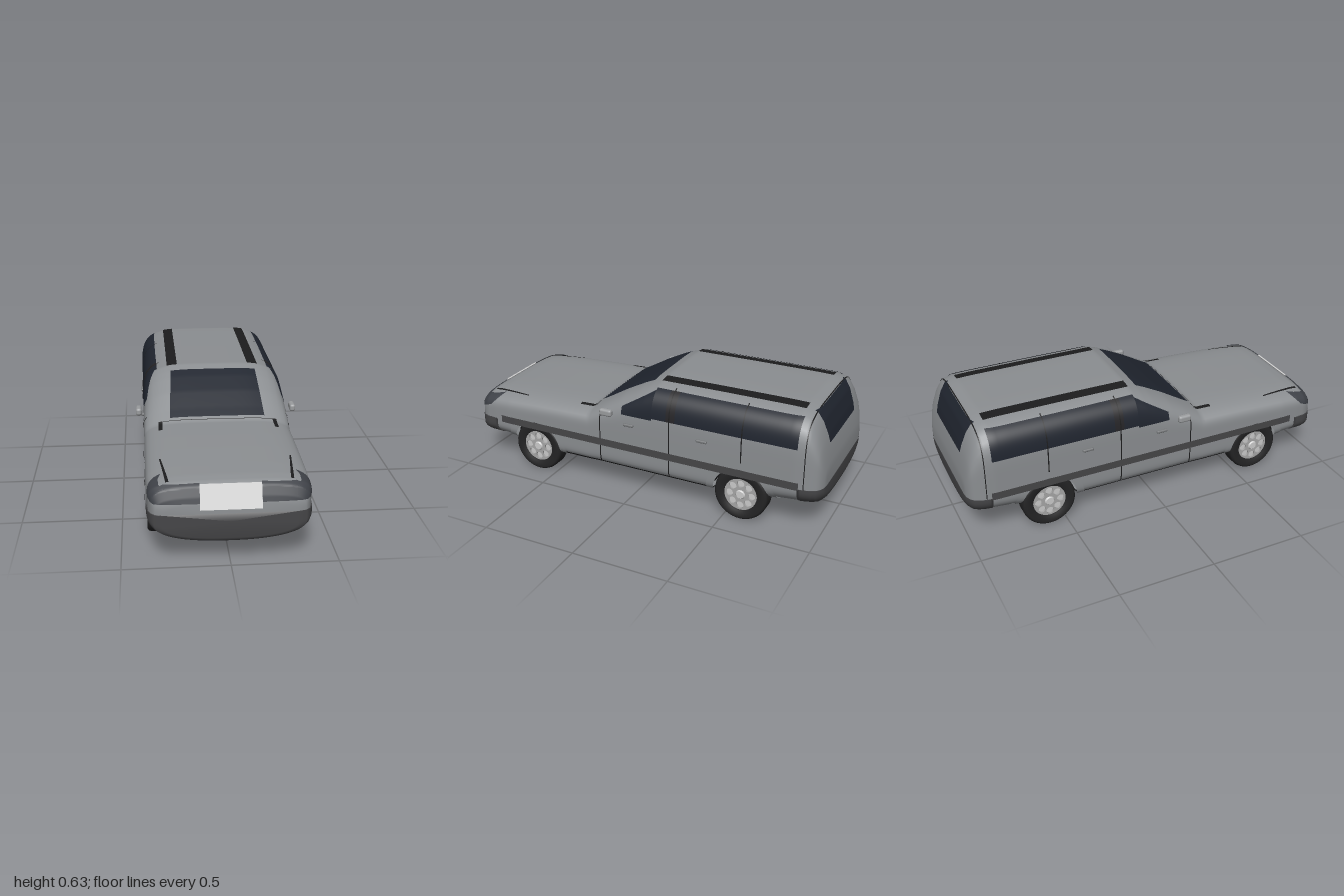
import * as THREE from 'three';
import { RoundedBoxGeometry } from 'three/addons/geometries/RoundedBoxGeometry.js';

const paint = (color, side = THREE.FrontSide) => new THREE.MeshStandardMaterial({ color, side });
const GREY = 0x8b8e91, GLASS = 0x20252f, BLACK = 0x1c1c1d, DARK = 0x464648, LIGHT = 0xcccccc;
const WHEELS = [0.605, -0.59], AXLE = 0.14, ROUND = 4.5;

// Body sections, front to back: z, half width, top, bottom, roundness of the lower corners
const KEYS = [
  [0.988, 0.3, 0.3, 0.14, 2.4], [0.978, 0.34, 0.335, 0.122, 2.3], [0.96, 0.358, 0.378, 0.113, 2.3],
  [0.93, 0.37, 0.394, 0.11, 2.3], [0.88, 0.375, 0.402, 0.11, 2.3], [0.78, 0.38, 0.409, 0.11, 2.5],
  [0.6, 0.38, 0.418, 0.11, 3.5], [0.45, 0.38, 0.424, 0.11, 5.5], [0.28, 0.38, 0.429, 0.11, 5.5],
  [0.2, 0.38, 0.474, 0.11, 5.5], [0.1, 0.38, 0.534, 0.11, 5.5], [0, 0.38, 0.586, 0.11, 5.5],
  [-0.05, 0.38, 0.608, 0.11, 5.5], [-0.1, 0.38, 0.625, 0.11, 5.5], [-0.44, 0.38, 0.627, 0.11, 5.5],
  [-0.6, 0.38, 0.627, 0.11, 3.5], [-0.78, 0.38, 0.627, 0.11, 2.8], [-0.86, 0.38, 0.625, 0.11, 2.5],
  [-0.91, 0.375, 0.608, 0.11, 2.4], [-0.94, 0.366, 0.56, 0.112, 2.4], [-0.965, 0.354, 0.49, 0.12, 2.4],
  [-0.982, 0.335, 0.42, 0.137, 2.4], [-0.993, 0.31, 0.36, 0.16, 2.4], [-0.997, 0.28, 0.32, 0.18, 2.4],
];

function section(z) {
  let i = 0;
  while (i < KEYS.length - 2 && KEYS[i + 1][0] > z) i++;
  const a = KEYS[i], b = KEYS[i + 1], t = (a[0] - z) / (a[0] - b[0]);
  const [w, top, bottom, low] = [1, 2, 3, 4].map(k => a[k] + (b[k] - a[k]) * t);
  const h = top - bottom;
  return { w, top, bottom, low, yu: Math.min(0.33, bottom + 0.6 * h), yl: Math.min(0.25, bottom + 0.4 * h) };
}

// Below 1 inside the body, above 1 outside
function hull([x, y, z]) {
  if (z > KEYS[0][0] || z < KEYS[KEYS.length - 1][0]) return 9;
  const s = section(z), n = y < s.yl ? s.low : ROUND;
  const v = y > s.yu ? (y - s.yu) / (s.top - s.yu) : y < s.yl ? (s.yl - y) / (s.yl - s.bottom) : 0;
  return Math.pow(Math.abs(x) / s.w, n) + Math.pow(v, n);
}

// One section as a ring of points, counter-clockwise from the front
function ring(z, grow) {
  const s = section(z), pts = [], N = 36, M = 8;
  const arc = (a0, n, ry, yc) => {
    for (let k = 0; k <= N; k++) {
      const a = a0 + Math.PI * k / N, c = Math.cos(a), d = Math.sin(a);
      const r = Math.pow(Math.pow(Math.abs(c), n) + Math.pow(Math.abs(d), n), -1 / n);
      pts.push([c * r * (s.w + grow), yc + d * r * (ry + grow), z]);
    }
  };
  const side = (x, y0, y1) => {
    for (let k = 1; k < M; k++) pts.push([x * (s.w + grow), y0 + (y1 - y0) * k / M, z]);
  };
  arc(0, ROUND, s.top - s.yu, s.yu);
  side(-1, s.yu, s.yl);
  arc(Math.PI, s.low, s.yl - s.bottom, s.yl);
  side(1, s.yl, s.yu);
  return pts;
}

// Loft of the sections between z0 and z1, cut off at yMax and open at the wheel arches
function loft(z0, z1, grow = 0, yMax = 9) {
  const stops = [z0, ...KEYS.map(k => k[0]).filter(z => z < z0 && z > z1), z1], zs = [z0];
  for (let i = 1; i < stops.length; i++) {
    const d = stops[i] - stops[i - 1], n = Math.ceil(Math.abs(d) / 0.016);
    for (let k = 1; k <= n; k++) zs.push(stops[i - 1] + d * k / n);
  }
  const pos = [], idx = [], rings = zs.map(z => ring(z, grow)), n = rings[0].length;
  rings.forEach(r => {
    // The cut is closed by a lid no wider than the section just below it
    const xMax = Math.max(...r.map(p => (p[1] <= yMax ? Math.abs(p[0]) : 0)));
    r.forEach(p => pos.push(Math.max(-xMax, Math.min(xMax, p[0])), Math.min(p[1], yMax), p[2]));
  });
  const inArch = (p, q) => Math.abs(p[0]) > 0.25 && WHEELS.some(w =>
    Math.hypot((p[2] + q[2]) / 2 - w, (p[1] + q[1]) / 2 - AXLE) < 0.162);
  for (let i = 0; i < rings.length - 1; i++) for (let j = 0; j < n; j++) {
    const k = (j + 1) % n, a = i * n + j, b = i * n + k, c = a + n, d = b + n;
    if (!inArch(rings[i][j], rings[i + 1][k])) idx.push(a, c, b, b, c, d);
  }
  // End caps
  [[0, z0 + (z0 > 0.9 ? grow : 0)], [rings.length - 1, z1 - (z1 < -0.9 ? grow : 0)]].forEach(([i, z]) => {
    const s = section(zs[i]), centre = pos.length / 3;
    pos.push(0, Math.min((s.top + s.bottom) / 2, yMax), z);
    for (let j = 0; j < n; j++) {
      const a = i * n + j, b = i * n + (j + 1) % n;
      idx.push(centre, ...(i ? [b, a] : [a, b]));
    }
  });
  return surface(pos, idx);
}

function surface(pos, idx) {
  const g = new THREE.BufferGeometry();
  g.setAttribute('position', new THREE.Float32BufferAttribute(pos, 3));
  g.setIndex(idx);
  g.computeVertexNormals();
  return g;
}

// Panel lying on the body: at(u, v) gives a point, pushed along one axis out to the surface
function panel(axis, sign, at, nu, nv, lift) {
  const pos = [], idx = [];
  for (let i = 0; i <= nu; i++) for (let j = 0; j <= nv; j++) {
    const p = at(i / nu, j / nv);
    let lo = p[axis], hi = sign * 1.1;
    for (let k = 0; k < 30; k++) {
      p[axis] = (lo + hi) / 2;
      if (hull(p) < 1) lo = p[axis]; else hi = p[axis];
    }
    p[axis] = lo;
    const grad = new THREE.Vector3(...[0, 1, 2].map(k => {
      const a = [...p], b = [...p];
      a[k] += 0.001; b[k] -= 0.001;
      return hull(a) - hull(b);
    })).normalize().multiplyScalar(lift);
    pos.push(p[0] + grad.x, p[1] + grad.y, p[2] + grad.z);
    if (i < nu && j < nv) {
      const a = i * (nv + 1) + j, c = a + nv + 1;
      idx.push(a, c, a + 1, a + 1, c, c + 1);
    }
  }
  return surface(pos, idx);
}

export function createModel() {
  const car = new THREE.Group();
  const add = (name, geometry, color, side, parent = car) => {
    const m = new THREE.Mesh(geometry, paint(color, side));
    m.name = name;
    parent.add(m);
    return m;
  };
  // Four-cornered panel; corners are [x or z, y] for the sides and ends, [x, z] on top
  const quad = (name, axis, sign, c, color, lift = 0.003, nu = 16, nv = 10) => {
    const at = (u, v) => {
      const [a, b] = [0, 1].map(k =>
        (c[0][k] * (1 - u) + c[1][k] * u) * (1 - v) + (c[3][k] * (1 - u) + c[2][k] * u) * v);
      return axis === 0 ? [0, b, a] : axis === 1 ? [a, 0.25, b] : [a, b, sign * 0.5];
    };
    return add(name, panel(axis, sign, at, nu, nv, lift), color, THREE.DoubleSide);
  };
  const box = (a0, a1, b0, b1) => [[a0, b0], [a1, b0], [a1, b1], [a0, b1]];

  // Shell and bumpers
  add('body', loft(0.988, -0.997), GREY, THREE.DoubleSide);
  add('frontBumper', loft(0.988, 0.865, 0.005, 0.257), DARK);
  add('rearBumper', loft(-0.88, -0.997, 0.003, 0.25), DARK);

  // Glass, bonnet and tailgate gaps
  quad('windscreen', 1, 1, [[-0.245, 0.25], [0.245, 0.25], [0.228, -0.05], [-0.228, -0.05]], GLASS, 0.003, 16, 24);
  quad('rearWindow', 2, -1, [[-0.21, 0.445], [0.21, 0.445], [0.23, 0.605], [-0.23, 0.605]], GLASS, 0.003, 16, 20);
  quad('bonnetGap', 1, 1, box(-0.3, 0.3, 0.264, 0.267), BLACK, 0.001, 16, 1);
  quad('tailgateGap', 1, 1, box(-0.3, 0.3, -0.911, -0.907), BLACK, 0.002, 24, 1);

  // Number plate panel
  const plate = add('plate', new THREE.BoxGeometry(0.28, 0.118, 0.008), LIGHT);
  plate.position.set(0, 0.335, 0.974);
  plate.rotation.x = -0.4;

  for (const s of [1, -1]) {
    // Side windows with a slanted leading edge
    quad('sideWindow', 0, s, box(-0.87, -0.23, 0.457, 0.598), GLASS, 0.002, 30, 20);
    quad('doorPillar', 0, s, box(-0.23, -0.18, 0.457, 0.598), 0x252427, 0.002, 4, 20);
    quad('sideWindow', 0, s, box(-0.18, -0.1, 0.457, 0.598), GLASS, 0.002, 6, 20);
    quad('quarterWindow', 0, s, [[-0.1, 0.447], [0.075, 0.445], [0.075, 0.485], [-0.1, 0.59]], GLASS, 0.002, 12, 16);
    // Door gaps, trim strip and sill
    for (const z of [0.2, -0.2, -0.59]) quad('doorGap', 0, s, box(z - 0.003, z + 0.003, z < -0.5 ? 0.32 : 0.15, z > 0 ? 0.43 : 0.605), BLACK, 0.0035, 1, 24);
    quad('tailgateGap', 0, s, box(-0.911, -0.907, 0.25, 0.585), BLACK, 0.002, 1, 24);
    quad('sideTrim', 0, s, box(-0.885, 0.83, 0.245, 0.285), DARK, 0.005, 80, 4);
    quad('sill', 0, s, box(-0.43, 0.445, 0.114, 0.15), BLACK, 0.002, 30, 6);
    // Roof rails, bonnet edges and wipers
    quad('roofRail', 1, 1, box(s * 0.192, s * 0.247, -0.86, -0.1), BLACK, 0.003, 6, 40);
    quad('bonnetEdge', 1, 1, [[s * 0.305, 0.69], [s * 0.312, 0.69], [s * 0.29, 0.92], [s * 0.275, 0.92]], BLACK, 0.003, 2, 16);
    quad('wiper', 1, 1, box(s * 0.285, s * 0.305, 0.265, 0.36), BLACK, 0.004, 2, 8);
    // Headlight, wrapping round the corner
    quad('headlight', 2, 1, [[s * 0.14, 0.308], [s * 0.3, 0.308], [s * 0.3, 0.382], [s * 0.14, 0.388]], 0x3e4147, 0.004, 16, 16);
    quad('headlight', 2, 1, [[s * 0.3, 0.308], [s * 0.35, 0.308], [s * 0.35, 0.362], [s * 0.3, 0.382]], 0x3e4147, 0.004, 16, 16);
    quad('headlight', 0, s, [[0.968, 0.31], [0.9, 0.335], [0.84, 0.392], [0.955, 0.372]], 0x3e4147, 0.004, 16, 16);

    const mirror = add('mirror', new RoundedBoxGeometry(0.03, 0.038, 0.07, 3, 0.012), 0x9a9c9e);
    mirror.position.set(s * 0.405, 0.453, 0.147);
    for (const z of [0.03, -0.38]) {
      const handle = add('doorHandle', new RoundedBoxGeometry(0.016, 0.015, 0.058, 2, 0.006), 0x77797b);
      handle.position.set(s * 0.383, 0.394, z);
    }

    for (const z of WHEELS) {
      // Arch lip and dark wheel housing
      const lip = (u, v) => {
        const a = -0.06 + u * (Math.PI + 0.12), r = 0.146 + 0.038 * v;
        return [0, AXLE + r * Math.sin(a), z + r * Math.cos(a)];
      };
      add('wheelArch', panel(0, s, lip, 48, 3, 0.004), GREY, THREE.DoubleSide);
      const liner = add('wheelHousing', new THREE.CylinderGeometry(0.168, 0.168, 0.06, 40, 1, true, 0, Math.PI).rotateZ(Math.PI / 2), BLACK, THREE.DoubleSide);
      liner.position.set(s * 0.275, AXLE, z);
      const wall = add('wheelHousing', new THREE.PlaneGeometry(0.34, 0.175).rotateY(Math.PI / 2), BLACK, THREE.DoubleSide);
      wall.position.set(s * 0.248, 0.222, z);
      car.add(wheel(add, s, z));
    }
  }
  return car;
}

function wheel(add, s, z) {
  const g = new THREE.Group();
  g.name = 'wheel';
  const turn = geo => geo.rotateZ(-Math.PI / 2);
  // Tyre
  const profile = [[0.084, -0.048], [0.126, -0.051], [0.136, -0.045], [0.14, -0.03], [0.14, 0.03], [0.136, 0.042],
    [0.126, 0.048], [0.09, 0.046], [0.084, 0.03], [0.084, -0.048]].map(p => new THREE.Vector2(...p));
  add('tyre', turn(new THREE.LatheGeometry(profile, 48)), 0x242425, THREE.DoubleSide, g);
  // Rim face with a ring of round openings
  const face = new THREE.Shape().absarc(0, 0, 0.086, 0, Math.PI * 2);
  for (let i = 0; i < 8; i++) {
    const a = i * Math.PI / 4;
    face.holes.push(new THREE.Path().absarc(0.059 * Math.cos(a), 0.059 * Math.sin(a), 0.019, 0, Math.PI * 2, true));
  }
  const rim = new THREE.ExtrudeGeometry(face, { depth: 0.012, bevelEnabled: false, curveSegments: 20 });
  add('rim', rim.rotateY(Math.PI / 2), 0xa6a6a6, THREE.FrontSide, g).position.x = 0.028;
  add('rimBack', turn(new THREE.CylinderGeometry(0.085, 0.085, 0.07, 32)), LIGHT, THREE.FrontSide, g).position.x = -0.005;
  add('hubCap', turn(new THREE.CylinderGeometry(0.02, 0.026, 0.008, 20)), LIGHT, THREE.FrontSide, g).position.x = 0.043;
  add('hub', turn(new THREE.CylinderGeometry(0.06, 0.06, 0.04, 24)), LIGHT, THREE.FrontSide, g).position.x = -0.052;
  g.position.set(s * 0.327, AXLE, z);
  if (s < 0) g.rotation.y = Math.PI;
  return g;
}
